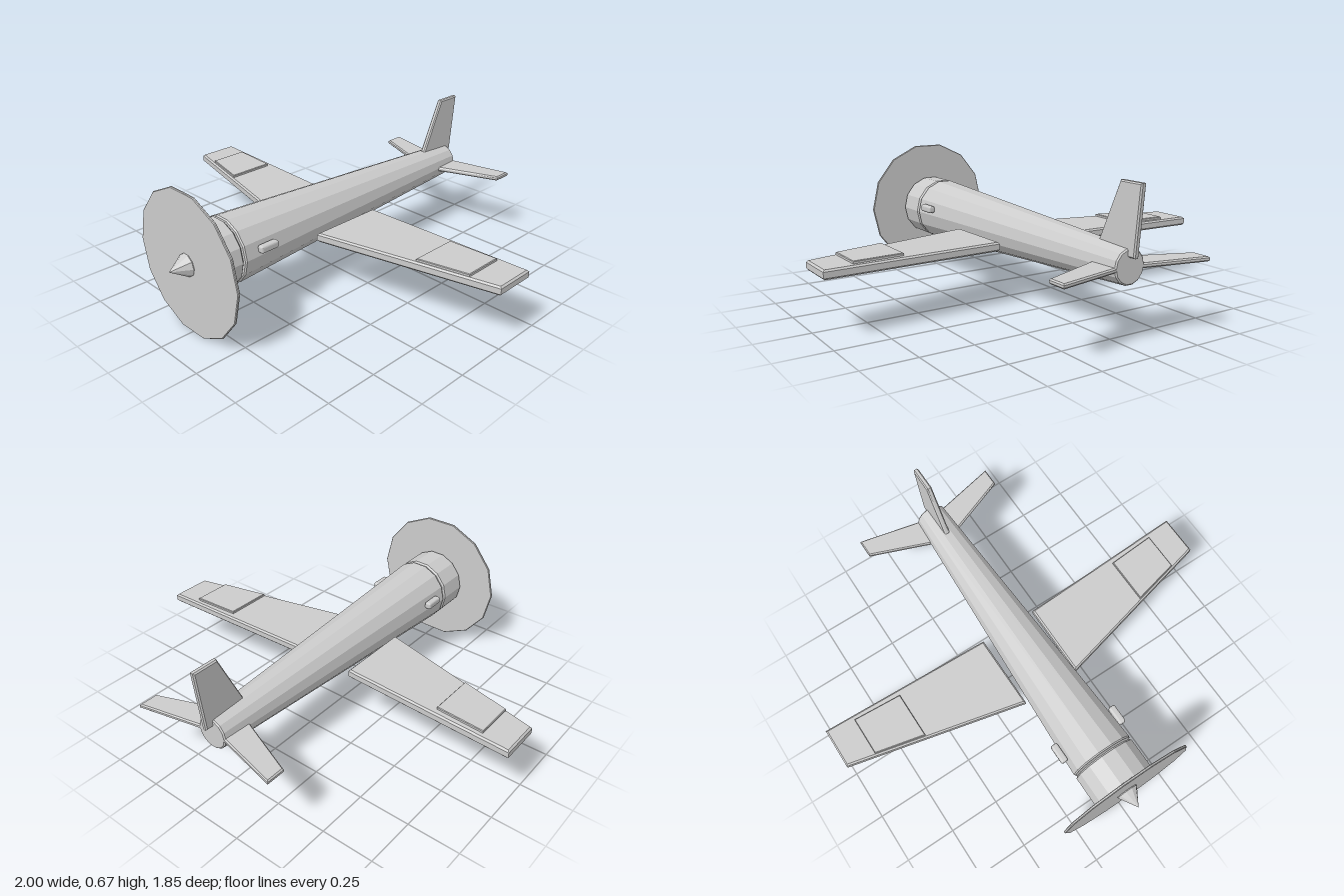
import * as THREE from 'three';
import { RoundedBoxGeometry } from 'three/addons/geometries/RoundedBoxGeometry.js';

const AXIS = 0.34; // height of the fuselage centre line
const SIDES = 14;
const material = new THREE.MeshStandardMaterial({ color: 0xcccccc, flatShading: true });

function part(name, geometry) {
  const mesh = new THREE.Mesh(geometry, material);
  mesh.name = name;
  return mesh;
}

// Faceted solid of revolution about the fuselage axis, from [radius, z] pairs
function turned(name, profile, sides = SIDES) {
  const points = profile.map(([r, z]) => new THREE.Vector2(r, z));
  const geometry = new THREE.LatheGeometry(points, sides, Math.PI / 2);
  geometry.rotateX(Math.PI / 2);
  const mesh = part(name, geometry);
  mesh.position.y = AXIS;
  return mesh;
}

// Closed barrel with small chamfers at both ends
function barrel(name, z0, r0, z1, r1, b) {
  return turned(name, [[0, z0], [r0 - b, z0], [r0, z0 + b], [r1, z1 - b], [r1 - b, z1], [0, z1]]);
}

// Chamfered plate of the given thickness, starting at depth 0
function plate(points, thickness, b) {
  const shape = new THREE.Shape(points.map(([x, y]) => new THREE.Vector2(x, y)));
  const geometry = new THREE.ExtrudeGeometry(shape, {
    depth: thickness - 2 * b, bevelEnabled: true, bevelThickness: b,
    bevelSize: b, bevelOffset: -b, bevelSegments: 1,
  });
  return geometry.translate(0, 0, b);
}

// Horizontal plate from [x, z] outline, mirrored by side
function flatPanel(name, outline, side, y0, y1, b) {
  const geometry = plate(outline.map(([x, z]) => [x * side, -z]), y1 - y0, b);
  geometry.rotateX(-Math.PI / 2).translate(0, y0, 0);
  return part(name, geometry);
}

export function createModel() {
  const plane = new THREE.Group();
  plane.name = 'airplane';

  // Body, engine cowl and propeller
  plane.add(
    barrel('fuselage', -0.86, 0.077, 0.65, 0.157, 0.006),
    barrel('engineCowl', 0.658, 0.157, 0.82, 0.157, 0.008),
    barrel('propellerDisc', 0.826, 0.34, 0.838, 0.34, 0.003),
    turned('spinner', [[0, 0.815], [0.05, 0.815], [0.053, 0.842], [0, 0.927]], 10),
  );

  // Parts found on both sides
  const wing = [[0.144, -0.138], [1, -0.172], [1, 0.028], [0.144, 0.232]];
  const aileron = [[0.622, -0.125], [0.86, -0.14], [0.86, 0.052], [0.622, 0.107]];
  const tail = [[0.03, -0.85], [0.377, -0.927], [0.377, -0.835], [0.03, -0.7]];
  for (const side of [1, -1]) {
    const label = side > 0 ? 'left' : 'right';
    plane.add(
      flatPanel(label + 'Wing', wing, side, 0.277, 0.32, 0.008),
      flatPanel(label + 'Aileron', aileron, side, 0.315, 0.332, 0.003),
      flatPanel(label + 'Tailplane', tail, side, 0.324, 0.346, 0.006),
    );
    const exhaust = part(label + 'Exhaust', new RoundedBoxGeometry(0.034, 0.035, 0.095, 2, 0.01));
    exhaust.position.set(0.162 * side, 0.375, 0.532);
    plane.add(exhaust);
  }

  // Upright tail fin, outline as [z, y]
  const fin = plate([[-0.66, 0.38], [-0.895, 0.38], [-0.925, 0.682], [-0.8, 0.682]], 0.026, 0.006);
  fin.rotateY(-Math.PI / 2).translate(0.013, 0, 0);
  plane.add(part('tailFin', fin));

  return plane;
}
